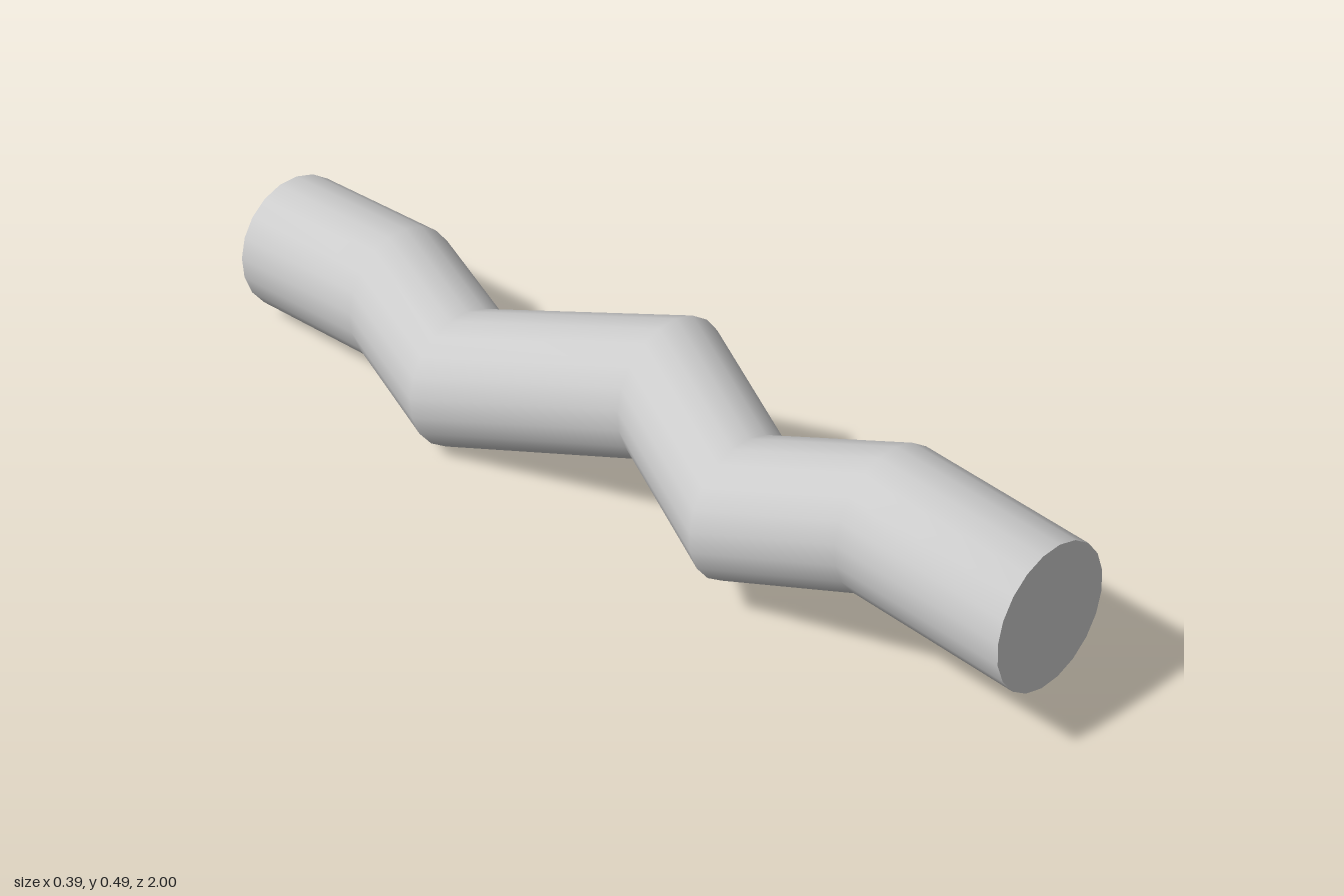
import * as THREE from 'three';

const SIDES = 20, RADIUS = 0.144, OFFSET = Math.PI / SIDES;

// Centre line of the crooked rod, front to back
const CENTRES = [
  [0.004, 0.286, 0.99], [-0.035, 0.346, 0.658], [-0.053, 0.208, 0.337], [0.022, 0.317, 0.089],
  [-0.053, 0.143, -0.389], [0.04, 0.17, -0.656], [0.051, 0.143, -0.989],
];

// Every cross-section leans by the same slight amount
const lean = (x, y) => 0.03 * x - 0.076 * y;

function wallGeometry() {
  const positions = [], index = [];
  CENTRES.forEach(([cx, cy, cz], i) => {
    for (let j = 0; j < SIDES; j++) {
      const a = OFFSET + (j / SIDES) * Math.PI * 2;
      const x = RADIUS * Math.cos(a), y = RADIUS * Math.sin(a);
      positions.push(cx + x, cy + y, cz + lean(x, y));
      if (i === CENTRES.length - 1) continue;
      const p = i * SIDES + j, q = i * SIDES + (j + 1) % SIDES;
      index.push(p, p + SIDES, q, q, p + SIDES, q + SIDES);
    }
  });
  const geometry = new THREE.BufferGeometry();
  geometry.setAttribute('position', new THREE.Float32BufferAttribute(positions, 3));
  geometry.setIndex(index);
  geometry.computeVertexNormals();
  return geometry;
}

// Flat end disc, leaned to match the cross-sections
function capGeometry([cx, cy, cz], facesBack) {
  const geometry = new THREE.CircleGeometry(RADIUS, SIDES, OFFSET);
  if (facesBack) geometry.rotateY(Math.PI);
  const pos = geometry.attributes.position;
  for (let i = 0; i < pos.count; i++) {
    const x = pos.getX(i), y = pos.getY(i);
    pos.setXYZ(i, cx + x, cy + y, cz + lean(x, y));
  }
  geometry.computeVertexNormals();
  return geometry;
}

export function createModel() {
  const group = new THREE.Group();
  group.name = 'crookedRod';
  const material = new THREE.MeshStandardMaterial({ color: 0xcccccc });
  const add = (name, geometry) => {
    const mesh = new THREE.Mesh(geometry, material);
    mesh.name = name;
    group.add(mesh);
  };
  add('rodWall', wallGeometry());
  add('frontCap', capGeometry(CENTRES[0], false));
  add('backCap', capGeometry(CENTRES[CENTRES.length - 1], true));
  return group;
}
